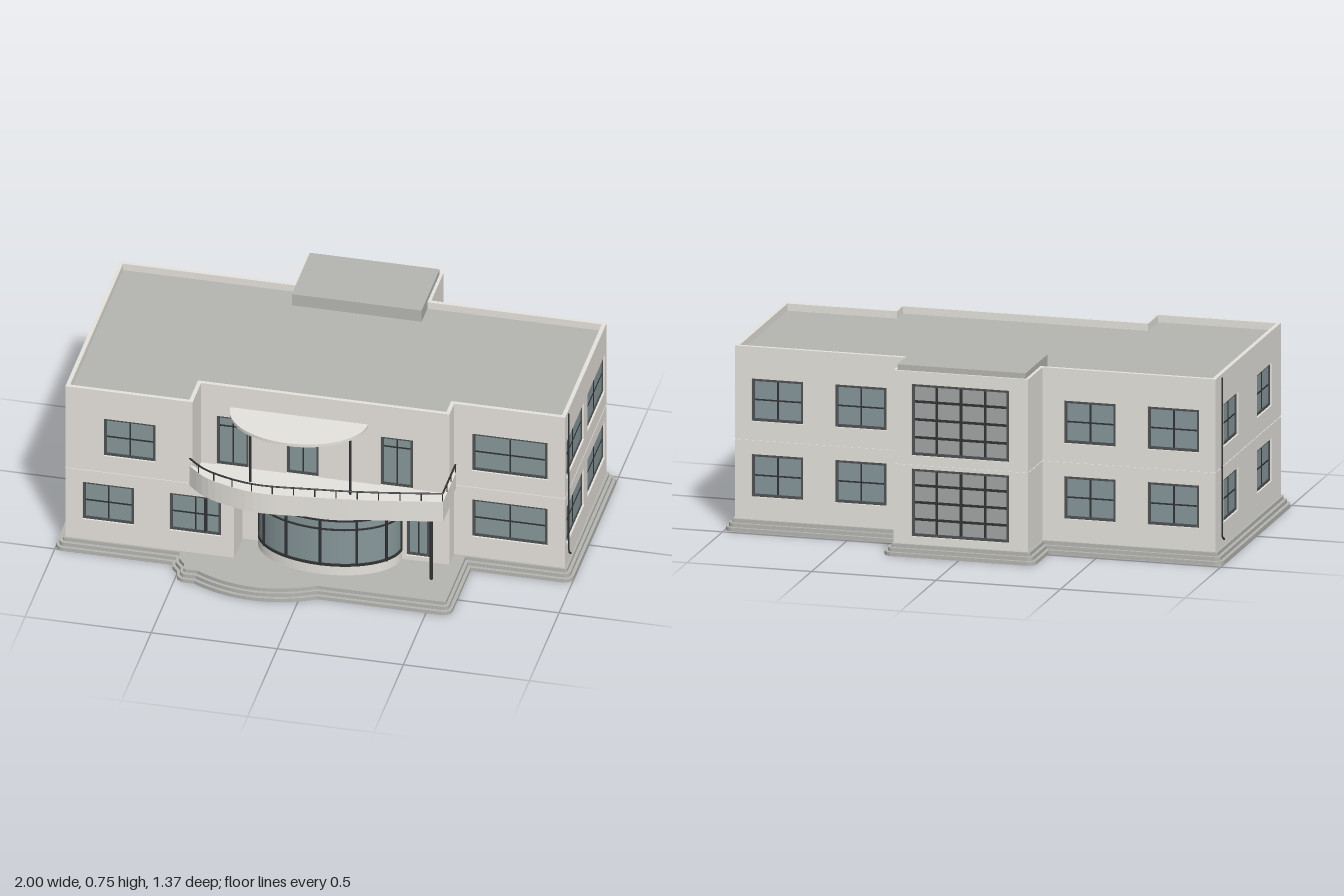
import * as THREE from 'three';

const mat = (name, color) => Object.assign(new THREE.MeshStandardMaterial({ color }), { name });

// Outline points are [x, z], running along the front from left to right and round the back
const backOutline = [[0.965, 0.25], [0.965, -0.45], [0.27, -0.45], [0.27, -0.65],
  [-0.27, -0.65], [-0.27, -0.45], [-0.965, -0.45]];
const houseOutline = (recessX) => [[-0.965, 0.472], [recessX, 0.472], [recessX, 0.33],
  [0.525, 0.33], [0.525, 0.25], ...backOutline];
const lowerOutline = houseOutline(-0.295), upperOutline = houseOutline(-0.46);
const REVEAL = 0.018;

// Grow (d > 0, rounded outer corners) or shrink (d < 0) an outline
function offset(pts, d) {
  const n = pts.length, out = [];
  const normal = (a, b) => {
    const l = Math.hypot(b[0] - a[0], b[1] - a[1]);
    return [-(b[1] - a[1]) / l, (b[0] - a[0]) / l];
  };
  pts.forEach((p, i) => {
    const a = normal(pts[(i + n - 1) % n], p), b = normal(p, pts[(i + 1) % n]);
    const dot = a[0] * b[0] + a[1] * b[1], convex = a[0] * b[1] - a[1] * b[0] < 0;
    if (d > 0 && convex && dot < 0.8) {
      const a0 = Math.atan2(a[1], a[0]), turn = Math.acos(Math.max(-1, Math.min(1, dot)));
      for (let k = 0; k <= 6; k++) {
        const t = a0 - turn * k / 6;
        out.push([p[0] + d * Math.cos(t), p[1] + d * Math.sin(t)]);
      }
    } else {
      const s = d / (1 + dot);
      out.push([p[0] + s * (a[0] + b[0]), p[1] + s * (a[1] + b[1])]);
    }
  });
  return out;
}

// Upright prism between two heights, optionally hollow
function prism(pts, y0, y1, hole) {
  const v = (list) => list.map(([x, z]) => new THREE.Vector2(x, -z));
  const shape = new THREE.Shape(v(pts));
  if (hole) shape.holes.push(new THREE.Path(v(hole)));
  const g = new THREE.ExtrudeGeometry(shape, { depth: y1 - y0, bevelEnabled: false });
  return g.rotateX(-Math.PI / 2).translate(0, y0, 0);
}

const rectangle = (x0, y0, x1, y1) =>
  [[x0, y0], [x1, y0], [x1, y1], [x0, y1]].map(([x, y]) => new THREE.Vector2(x, y));

// Half ellipse bulging to the front
function halfEllipse(cx, cz, rx, rz, n = 48) {
  return Array.from({ length: n + 1 }, (_, i) => {
    const t = Math.PI * (1 - i / n);
    return [cx + rx * Math.cos(t), cz + rz * Math.sin(t)];
  });
}

export function createModel() {
  const model = new THREE.Group();
  model.name = 'house';
  const wall = mat('wall', 0xe6e3dd), stone = mat('roof and steps', 0xb5b5b2);
  const glass = mat('glass', 0x87979a), stairGlass = mat('stair glass', 0xa3a6a5);
  const frame = mat('window frame', 0x4f5253), dark = mat('dark metal', 0x303234);

  const add = (name, geo, m, parent = model) => {
    const mesh = new THREE.Mesh(geo, m);
    mesh.name = name;
    parent.add(mesh);
  };
  const box = (name, w, h, d, x, y, z, m, parent) =>
    add(name, new THREE.BoxGeometry(w, h, d).translate(x, y, z), m, parent);
  const pole = (name, x, z, y0, y1, r) =>
    add(name, new THREE.CylinderGeometry(r, r, y1 - y0, 10).translate(x, (y0 + y1) / 2, z), dark);

  // Stepped plinth with the curved terrace
  const bulge = Array.from({ length: 21 }, (_, i) => {
    const u = i / 10 - 1;
    return [-0.175 + 0.235 * u, 0.585 + 0.065 * (1 - u * u)];
  });
  const base = [[-0.965, 0.472], [-0.503, 0.472], [-0.493, 0.52], [-0.465, 0.555], [-0.46, 0.585], ...bulge,
    [0.563, 0.585], [0.563, 0.25], ...backOutline];
  [0.035, 0.022, 0.009].forEach((d, i) =>
    add('step', prism(offset(base, d), i * 0.015, (i + 1) * 0.015), stone));

  // Window list: each lies on one of the wall lines
  const windows = [];
  const win = (name, x, y, z, w, h, cols = 2, rows = 2, extra = {}) =>
    windows.push({ name, x, y, z, w, h, cols, rows, pane: glass, ...extra });
  win('frontWindow', -0.71, 0.521, 0.472, 0.205, 0.17);
  win('frontWindow', -0.795, 0.22, 0.472, 0.205, 0.17);
  win('frontWindow', -0.45, 0.22, 0.472, 0.205, 0.17, 2, 2, { post: 0.04 });
  for (const y of [0.22, 0.521]) {
    win('frontWindow', 0.745, y, 0.25, 0.3, 0.17);
    for (const z of [0.077, -0.272]) win('sideWindow', 0.965, y, z, 0.297, 0.17);
    for (const z of [0.235, -0.235]) win('sideWindow', -0.965, y, z, 0.21, 0.17);
    for (const x of [-0.795, -0.46, 0.46, 0.795]) win('backWindow', x, y, -0.45, 0.207, 0.17);
  }
  win('stairWindow', 0.003, 0.54, -0.65, 0.39, 0.285, 4, 4, { pane: stairGlass });
  win('stairWindow', 0.003, 0.21, -0.65, 0.39, 0.27, 4, 4, { pane: stairGlass });
  for (const x of [-0.335, -0.058, 0.316]) win('balconyDoor', x, 0.481, 0.33, 0.128, 0.222, 2, 1, { transom: 0.064 });
  win('entranceDoor', 0.4, 0.195, 0.33, 0.092, 0.262, 2, 1, { transom: 0.055 });

  // Glass plate, surround and glazing bars, set back in the wall
  function addWindow(parent, s, { name, y, w, h, cols, rows, pane, transom, post }) {
    const g = new THREE.Group();
    g.name = name;
    g.position.set(s, y, -REVEAL + 0.003);
    box('glass', w, h, 0.006, 0, 0, 0, pane, g);
    for (const k of [-1, 1]) {
      box('frameSide', 0.011, h, 0.014, k * (w / 2 - 0.0055), 0, 0, frame, g);
      box('frameRail', w, 0.011, 0.014, 0, k * (h / 2 - 0.0055), 0, frame, g);
    }
    const bar = cols > 2 ? 0.01 : 0.006;
    for (let i = 1; i < cols; i++) box('mullion', bar, h, 0.01, (i / cols - 0.5) * w, 0, 0, dark, g);
    for (let j = 1; j < rows; j++) box('glazingBar', w, bar, 0.01, 0, (j / rows - 0.5) * h, 0, dark, g);
    if (transom) box('transom', w, 0.006, 0.01, 0, transom, 0, dark, g);
    if (post) box('thickMullion', 0.013, h, 0.014, post, 0, 0, dark, g);
    parent.add(g);
  }

  // One storey: solid core plus a pierced wall panel along every side
  function addStorey(name, outline, y0, y1) {
    add(name + 'Core', prism(offset(outline, -REVEAL), y0, y1), wall);
    outline.forEach((a, i) => {
      const b = outline[(i + 1) % outline.length];
      const len = Math.hypot(b[0] - a[0], b[1] - a[1]);
      const dx = (b[0] - a[0]) / len, dz = (b[1] - a[1]) / len;
      const side = new THREE.Group();
      side.name = name + 'Side';
      side.position.set(a[0], 0, a[1]);
      side.rotation.y = Math.atan2(-dz, dx);
      const shape = new THREE.Shape(rectangle(0, y0, len, y1));
      for (const o of windows) {
        const s = (o.x - a[0]) * dx + (o.z - a[1]) * dz;
        const away = Math.abs((o.x - a[0]) * dz - (o.z - a[1]) * dx);
        if (away > 0.005 || s < 0 || s > len || o.y < y0 || o.y > y1) continue;
        shape.holes.push(new THREE.Path(rectangle(s - o.w / 2, o.y - o.h / 2, s + o.w / 2, o.y + o.h / 2)));
        addWindow(side, s, o);
      }
      const panel = new THREE.ExtrudeGeometry(shape, { depth: REVEAL, bevelEnabled: false });
      add('wallPanel', panel.translate(0, 0, -REVEAL), wall, side);
      model.add(side);
    });
  }
  addStorey('groundFloor', lowerOutline, 0.045, 0.36);
  add('floorGroove', prism(offset(upperOutline, -0.003), 0.36, 0.365), wall);
  addStorey('upperFloor', upperOutline, 0.365, 0.7);

  // Parapet and roof
  add('parapet', prism(upperOutline, 0.7, 0.733, offset(upperOutline, -0.016)), wall);
  add('roof', prism(offset(upperOutline, -0.015), 0.699, 0.704), stone);
  box('roofBlock', 0.515, 0.055, 0.305, 0, 0.7275, -0.49, stone);

  // Curved glazed bay
  const bay = (grow) => halfEllipse(0.053, 0.325, 0.285 + grow, 0.183 + grow);
  add('baySill', prism(bay(0), 0.045, 0.085), wall);
  add('bayGlass', prism(bay(-0.005), 0.085, 0.295), glass);
  add('bayHead', prism(bay(0), 0.295, 0.36), wall);
  for (const [y0, y1] of [[0.085, 0.095], [0.248, 0.254], [0.288, 0.297]])
    add('bayRail', prism(bay(0.001), y0, y1), dark);
  for (let i = 0; i <= 6; i++) {
    const t = Math.PI * i / 6;
    pole('bayMullion', 0.053 + 0.281 * Math.cos(t), 0.333 + 0.172 * Math.sin(t), 0.085, 0.295, 0.005);
  }

  // Balcony with low solid parapet
  const edge = new THREE.CatmullRomCurve3([[-0.485, 0.46], [-0.4, 0.535], [-0.29, 0.58], [-0.17, 0.601],
    [0.04, 0.583], [0.245, 0.557], [0.54, 0.5]].map(([x, z]) => new THREE.Vector3(x, 0.474, z)));
  const balcony = (back) => [...edge.getSpacedPoints(32).map((p) => [p.x, p.z]), [0.54, back], [-0.485, back]];
  add('balconyFloor', prism(balcony(0.325), 0.35, 0.37), wall);
  add('balconyParapet', prism(balcony(0.285), 0.37, 0.44, offset(balcony(0.285), -0.015)), wall);

  // Railing
  const sideRail = new THREE.LineCurve3(new THREE.Vector3(0.54, 0.474, 0.5), new THREE.Vector3(0.54, 0.474, 0.285));
  for (const [curve, count] of [[edge, 13], [sideRail, 3]]) {
    add('handrail', new THREE.TubeGeometry(curve, 40, 0.0038, 6).translate(-0.003, 0, -0.005), dark);
    for (const p of curve.getSpacedPoints(count)) pole('railPost', p.x - 0.003, p.z - 0.005, 0.44, 0.474, 0.0022);
  }
  pole('balconyColumn', 0.48, 0.445, 0.045, 0.35, 0.0065);

  // Canopy over the balcony
  add('canopy', prism(halfEllipse(-0.07, 0.325, 0.273, 0.207), 0.627, 0.64), wall);
  for (const x of [-0.243, 0.153]) pole('canopyPost', x, 0.42, 0.37, 0.627, 0.005);

  // Drainpipes with a kicked-out foot
  for (const [s, z, dz] of [[1, 0.195, -0.012], [-1, -0.362, 0.012]]) {
    const path = new THREE.CurvePath();
    const pts = [[0.966, 0.72, z], [0.966, 0.085, z], [0.972, 0.072, z + dz]].map(([x, y, c]) => new THREE.Vector3(s * x, y, c));
    path.add(new THREE.LineCurve3(pts[0], pts[1]));
    path.add(new THREE.LineCurve3(pts[1], pts[2]));
    add('drainpipe', new THREE.TubeGeometry(path, 40, 0.004, 8), dark);
  }
  return model;
}
